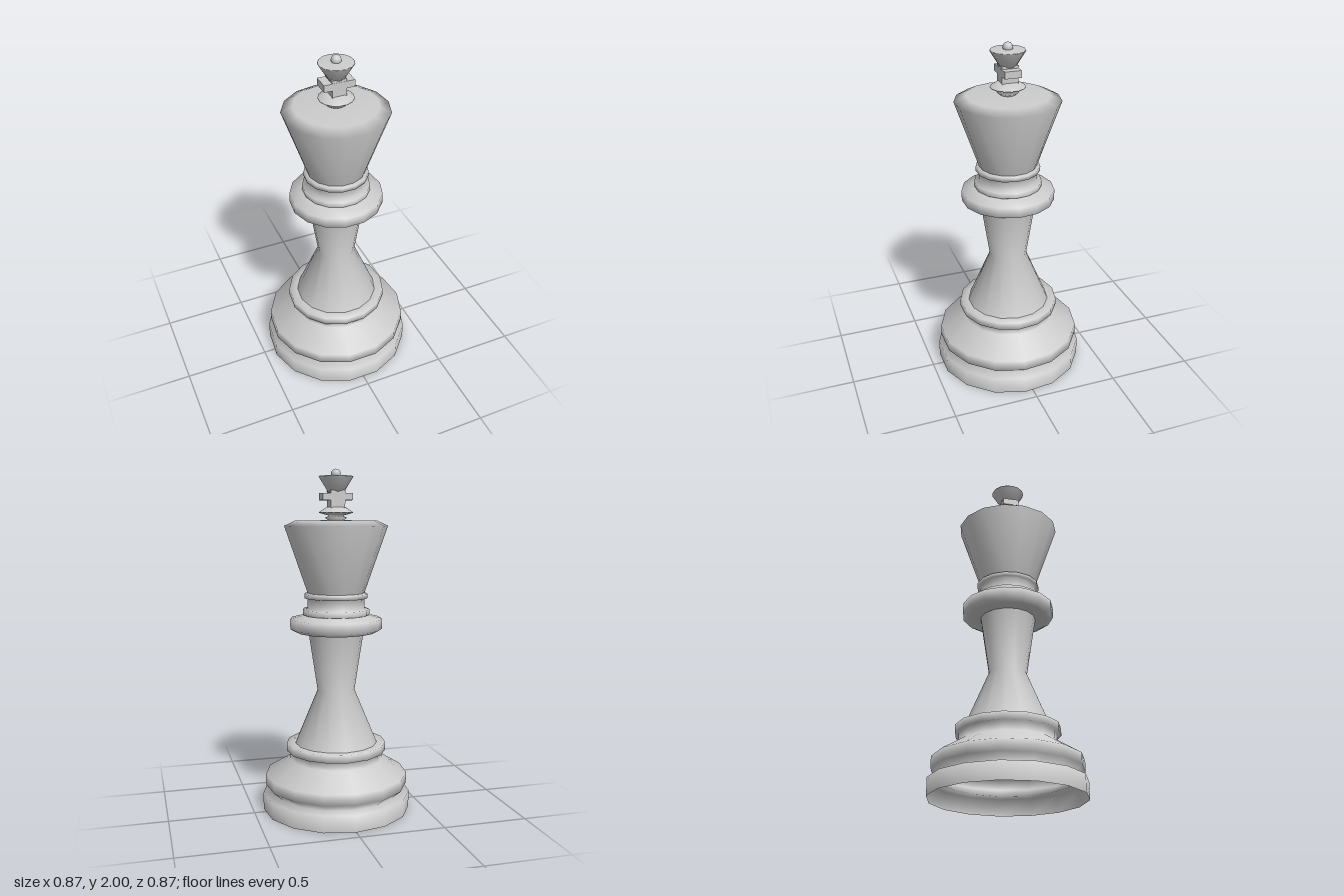
import * as THREE from 'three';

const SIDES = 15;
const material = new THREE.MeshStandardMaterial({ color: 0xcccccc, side: THREE.DoubleSide });

// Turned part from [radius, height] pairs, with a corner of the polygon towards -z
function turned(name, profile) {
  const points = profile.map(([r, y]) => new THREE.Vector2(r, y));
  const mesh = new THREE.Mesh(new THREE.LatheGeometry(points, SIDES, Math.PI), material);
  mesh.name = name;
  return mesh;
}

function block(name, w, h, d, y) {
  const mesh = new THREE.Mesh(new THREE.BoxGeometry(w, h, d), material);
  mesh.name = name;
  mesh.position.y = y;
  return mesh;
}

export function createModel() {
  const model = new THREE.Group();
  model.name = 'chessKing';

  // Hollow foot, open underneath, with a bulging tier and a thin ring
  model.add(turned('base', [
    [0.439, 0], [0.439, 0.1], [0.365, 0.1], [0.422, 0.15], [0.422, 0.215],
    [0.275, 0.305], [0.275, 0.355], [0.296, 0.355], [0.296, 0.4], [0.244, 0.4],
  ]));

  // Waisted stem
  model.add(turned('stem', [[0.244, 0.4], [0.11, 0.72], [0.162, 1.065]]));

  // Wide collar and the two neck rings
  model.add(turned('collar', [
    [0.162, 1.065], [0.235, 1.067], [0.269, 1.085], [0.269, 1.145], [0.19, 1.165],
    [0.195, 1.17], [0.195, 1.2], [0.166, 1.205], [0.166, 1.262],
    [0.185, 1.265], [0.185, 1.29], [0.166, 1.295],
  ]));

  // Flared head with a bevelled top
  model.add(turned('head', [[0.166, 1.295], [0.299, 1.68], [0.235, 1.71], [0, 1.71]]));

  // Finial: rings, cross bar, flared cup and ball
  const finial = new THREE.Group();
  finial.name = 'finial';
  finial.add(
    turned('finialRings', [
      [0.035, 1.705], [0.063, 1.725], [0.04, 1.738], [0.099, 1.753], [0.099, 1.757],
      [0.055, 1.785], [0, 1.785],
    ]),
    block('crossPost', 0.084, 0.11, 0.094, 1.825),
    block('crossBar', 0.176, 0.04, 0.096, 1.844),
    turned('cup', [[0, 1.868], [0.045, 1.868], [0.099, 1.955], [0.096, 1.96], [0, 1.964]]),
  );
  const ball = new THREE.Mesh(new THREE.SphereGeometry(0.028, 15, 10), material);
  ball.name = 'ball';
  ball.position.y = 1.972;
  finial.add(ball);
  model.add(finial);

  // The odd-sided outline is slightly longer towards -z, so recentre it
  model.position.z = 0.004;
  return model;
}
